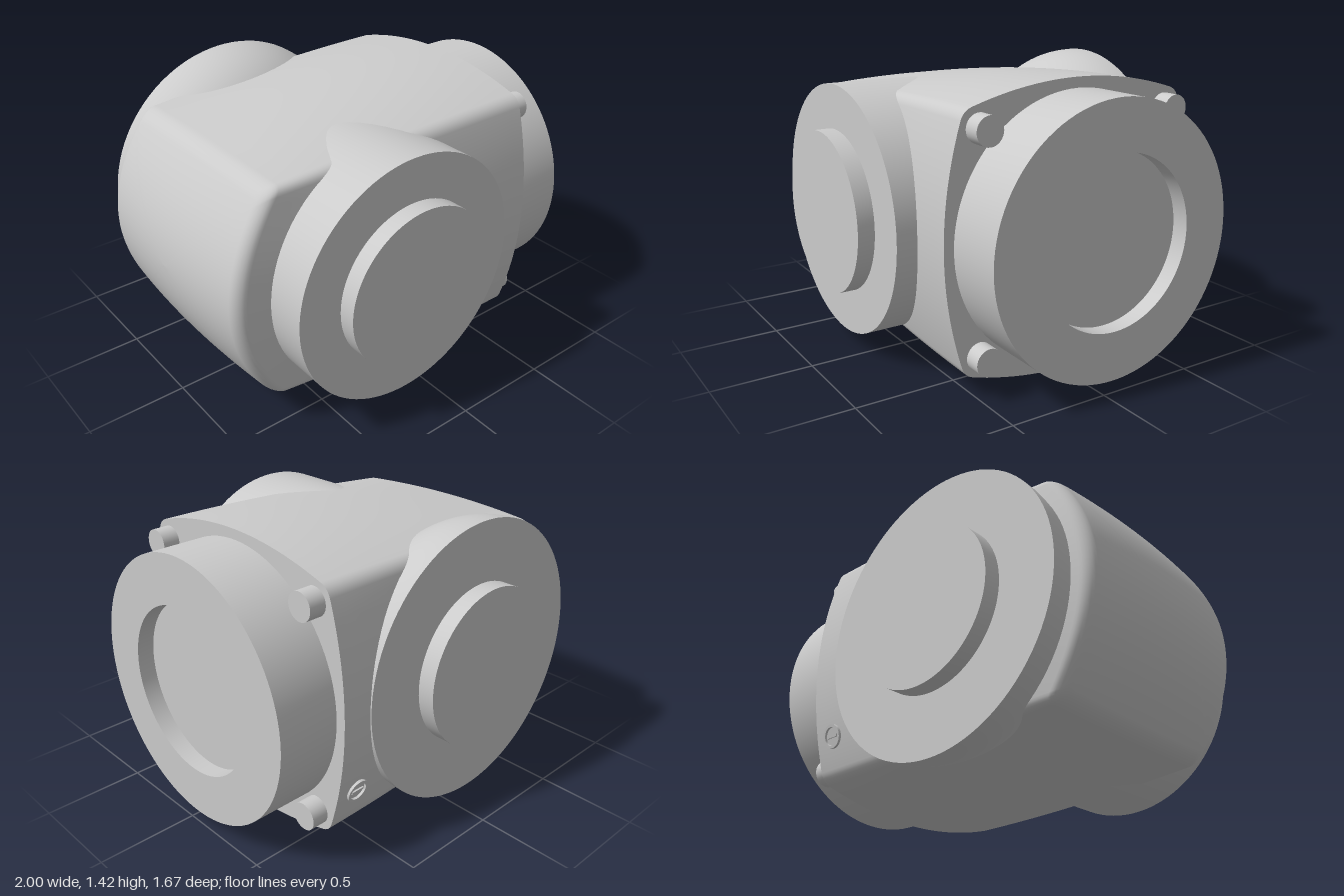
import * as THREE from 'three';
import { toCreasedNormals } from 'three/addons/utils/BufferGeometryUtils.js';

const material = new THREE.MeshStandardMaterial({ color: 0xcccccc });
const CY = 0.715, CZ = -0.05, PORT_X = -0.175;

function mesh(name, geometry) {
  const m = new THREE.Mesh(geometry, material);
  m.name = name;
  return m;
}

// Turned part: profile of [radius, distance along the axis]
function turned(name, profile, segments = 96) {
  const pts = profile.map(([r, d]) => new THREE.Vector2(r, d));
  return mesh(name, toCreasedNormals(new THREE.LatheGeometry(pts, segments), 0.5));
}

// Square section with bulged sides and rounded corners, as [y, z] offsets
function section(h, bulge) {
  const T = 0.93, quarter = [];
  const side = (t) => new THREE.Vector2(h + bulge * (1 - t * t), t * h);
  for (let i = 0; i <= 24; i++) quarter.push(side(T * (i / 12 - 1)));
  const a = side(T), b = new THREE.Vector2(a.y, a.x);
  const corner = new THREE.QuadraticBezierCurve(a, new THREE.Vector2(h, h), b);
  for (let i = 1; i < 6; i++) quarter.push(corner.getPoint(i / 6));
  const ring = [];
  for (let k = 0; k < 4; k++) {
    const c = Math.round(Math.cos(k * Math.PI / 2)), s = Math.round(Math.sin(k * Math.PI / 2));
    for (const p of quarter) ring.push([p.x * c - p.y * s, p.x * s + p.y * c]);
  }
  return ring;
}

// Domed end of the body: strongly curved in height, slightly in depth
const domeX = (y, z) => -1 + 0.23 * (y / 0.57) ** 2 + 0.035 * (z / 0.58) ** 2;

function bodyShell() {
  const R = 0.055, FRONT = 0.69, rings = [];
  // tapering sides
  for (let i = 0; i <= 20; i++) {
    const u = i / 20, grow = 1 - u * u;
    rings.push(section(0.553 + 0.047 * grow, 0.022 + 0.078 * grow).map(([y, z]) =>
      [THREE.MathUtils.lerp(FRONT, domeX(y, z) + R, u), y, z]));
  }
  // rounded edge, then the dome closing to its middle
  const end = section(0.553, 0.022);
  const addEnd = (k, lift) => rings.push(end.map(([y, z]) => [domeX(y * k, z * k) + lift, y * k, z * k]));
  for (let i = 1; i <= 6; i++) {
    const a = i / 6 * Math.PI / 2;
    addEnd(1 - R / 0.57 * (1 - Math.cos(a)), R * (1 - Math.sin(a)));
  }
  for (let i = 1; i <= 14; i++) addEnd((1 - R / 0.57) * (1 - i / 14), 0);

  const n = end.length, positions = [], index = [];
  for (const ring of rings) for (const [x, y, z] of ring) positions.push(x, y + CY, z + CZ);
  for (let i = 0; i < rings.length - 1; i++) {
    for (let j = 0; j < n; j++) {
      const a = i * n + j, b = i * n + (j + 1) % n;
      index.push(a, a + n, b, b, a + n, b + n);
    }
  }
  const g = new THREE.BufferGeometry();
  g.setAttribute('position', new THREE.Float32BufferAttribute(positions, 3));
  g.setIndex(index);
  g.computeVertexNormals();
  return g;
}

// Flat face carrying the side flange
function bodyFace() {
  const shape = new THREE.Shape(section(0.6, 0.1).map(([y, z]) => new THREE.Vector2(-z, y)));
  return new THREE.ShapeGeometry(shape).rotateY(Math.PI / 2).translate(0.69, CY, CZ);
}

export function createModel() {
  const model = new THREE.Group();
  model.name = 'threeWayValve';

  const body = new THREE.Group();
  body.name = 'body';
  body.add(mesh('bodyShell', bodyShell()), mesh('mountingFace', bodyFace()));
  model.add(body);

  // Front port with raised seat
  const front = turned('frontPort', [[0.625, 0.2], [0.625, 0.75], [0.405, 0.75], [0.405, 0.835], [0, 0.835]]);
  front.rotation.x = Math.PI / 2;
  front.position.set(PORT_X, CY, 0);

  // Rear port: rounded bowl with raised seat
  const bowl = [];
  for (let i = 0; i <= 14; i++) {
    const a = (1 - i / 14) * 1.2;
    bowl.push([0.31 + 0.4 * Math.cos(a), 0.74 - 0.44 * Math.sin(a)]);
  }
  const rear = turned('rearPort', [...bowl, [0.71, 0.755], [0.405, 0.755], [0.405, 0.84], [0, 0.84]]);
  rear.rotation.x = -Math.PI / 2;
  rear.position.set(PORT_X, CY, 0);

  // Side flange with shallow recess
  const flange = turned('sideFlange', [[0.65, 0.68], [0.65, 1], [0.41, 1], [0.41, 0.915], [0, 0.915]]);
  flange.rotation.z = -Math.PI / 2;
  flange.position.set(0, CY, CZ);
  model.add(front, rear, flange);

  // Flange bolts
  for (const sy of [-1, 1]) {
    for (const sz of [-1, 1]) {
      const bolt = mesh('flangeBolt', new THREE.CylinderGeometry(0.068, 0.068, 0.1, 32));
      bolt.rotation.z = Math.PI / 2;
      bolt.position.set(0.725, CY + sy * 0.52, CZ + sz * 0.52);
      model.add(bolt);
    }
  }

  // Small slotted plug on the back, following the slope of the wall
  const plug = new THREE.Group();
  plug.name = 'plug';
  const rim = turned('plugRim', [[0.06, -0.03], [0.06, 0.016], [0.046, 0.016], [0.046, 0.004], [0, 0.004]], 32);
  const slot = mesh('plugSlot', new THREE.BoxGeometry(0.07, 0.012, 0.012));
  slot.position.y = 0.006;
  plug.add(rim, slot);
  plug.rotation.x = -Math.PI / 2 - 0.23;
  plug.position.set(0.57, 0.31, -0.7);
  model.add(plug);

  return model;
}
